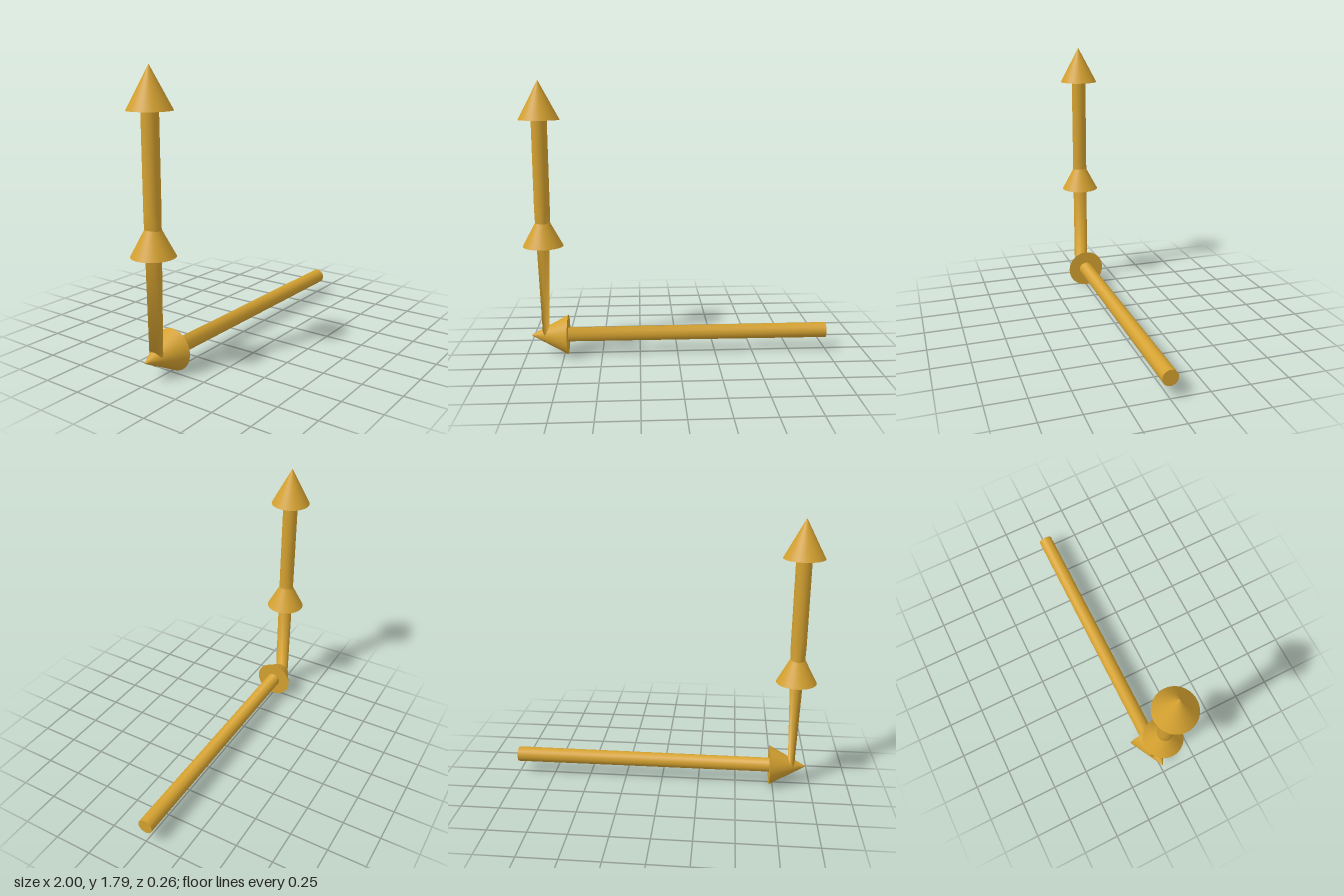
import * as THREE from 'three';

const SIDES = 40, R = 0.05, HEAD_R = 0.13, HEAD_H = 0.245;
const CORNER_X = -0.87, BASE_Y = 0.13;

// Round section swept along a bent path; the ring at the bend leans with the averaged direction
function sweptShaft(path) {
  const pos = [], index = [], row = SIDES + 1;
  path.forEach((p, i) => {
    const a = path[Math.max(i - 1, 0)], b = path[Math.min(i + 1, path.length - 1)];
    const t = b.clone().sub(a).normalize();
    for (let j = 0; j <= SIDES; j++) {
      const ang = (j / SIDES) * Math.PI * 2, c = R * Math.cos(ang);
      pos.push(p.x + c * t.y, p.y - c * t.x, R * Math.sin(ang));
      if (i < path.length - 1 && j < SIDES) {
        const k = i * row + j;
        index.push(k, k + row, k + 1, k + 1, k + row, k + row + 1);
      }
    }
  });
  const g = new THREE.BufferGeometry();
  g.setAttribute('position', new THREE.Float32BufferAttribute(pos, 3));
  g.setIndex(index);
  g.computeVertexNormals();
  return g;
}

export function createModel() {
  const group = new THREE.Group();
  const gold = new THREE.MeshStandardMaterial({ color: 0xd4a130 });
  gold.name = 'gold';
  const add = (name, geometry, x = 0, y = 0) => {
    const mesh = new THREE.Mesh(geometry, gold);
    mesh.name = name;
    mesh.position.set(x, y, 0);
    group.add(mesh);
    return mesh;
  };

  // Bent lower shaft: along the ground, then up into the middle arrowhead
  add('bentShaft', sweptShaft([
    new THREE.Vector2(1, BASE_Y),
    new THREE.Vector2(CORNER_X, BASE_Y),
    new THREE.Vector2(CORNER_X, 0.98),
  ]));
  add('shaftEndCap', new THREE.CircleGeometry(R, SIDES), 1, BASE_Y).rotation.y = Math.PI / 2;

  // Straight upper shaft
  add('upperShaft', new THREE.CylinderGeometry(R, R, 0.58, SIDES, 1, true), CORNER_X, 1.26);

  // Arrowheads: two pointing up, one pointing toward the corner
  const head = new THREE.ConeGeometry(HEAD_R, HEAD_H, SIDES);
  add('topArrowhead', head, CORNER_X, 1.545 + HEAD_H / 2);
  add('middleArrowhead', head, CORNER_X, 0.735 + HEAD_H / 2);
  add('cornerArrowhead', head, -0.725 - HEAD_H / 2, BASE_Y).rotation.z = Math.PI / 2;

  return group;
}
